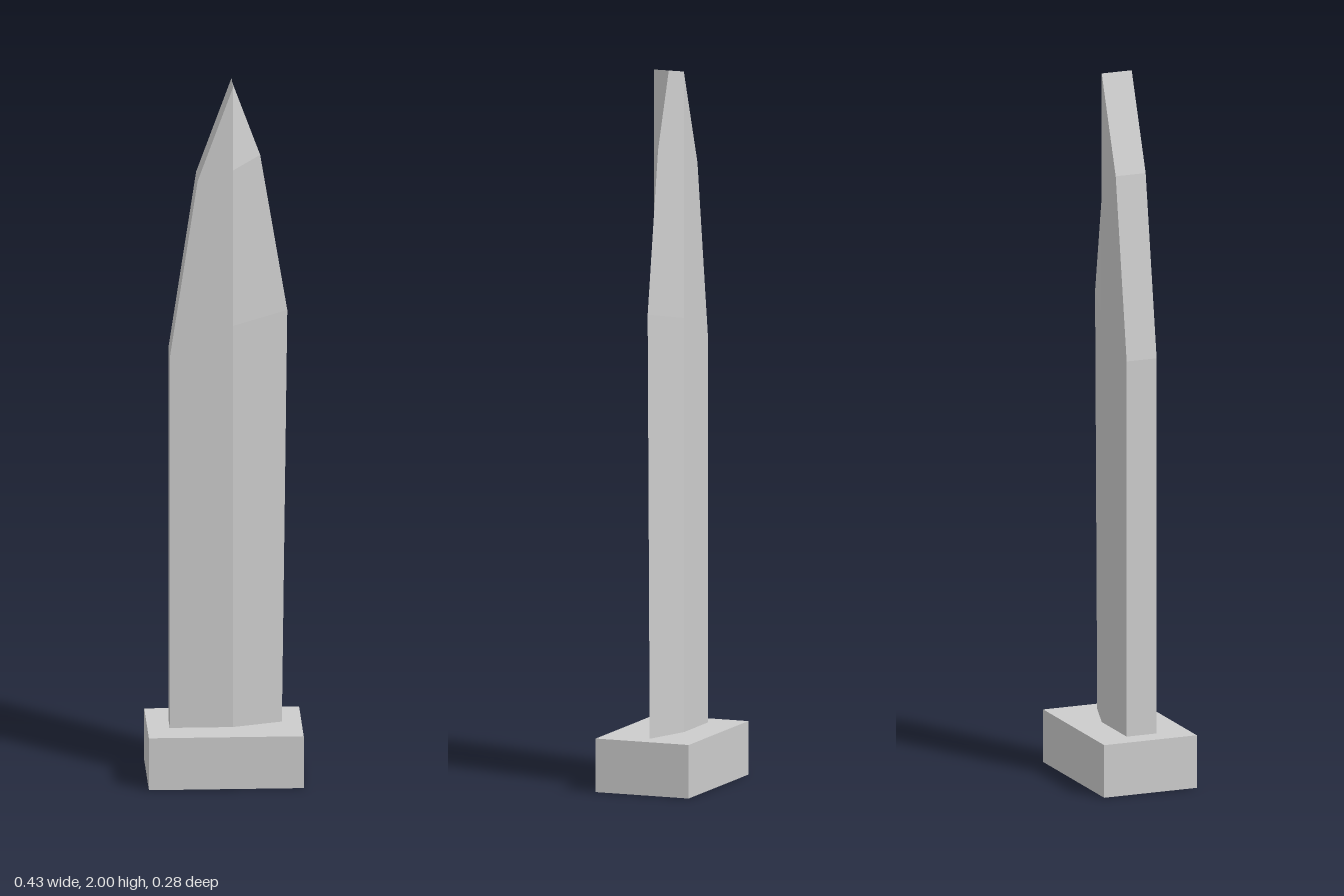
import * as THREE from 'three';

// Builds flat faces from 3 or 4 corners (counter-clockwise), one normal per face.
function facesGeometry(faces) {
  const positions = [], normals = [], index = [];
  for (const face of faces) {
    const start = positions.length / 3;
    const [a, b, c, d = a] = face;
    // cross product of the diagonals also suits the slightly folded tip faces
    const normal = c.clone().sub(a).cross(d === a ? a.clone().sub(b) : d.clone().sub(b)).normalize();
    for (const p of face) {
      positions.push(p.x, p.y, p.z);
      normals.push(normal.x, normal.y, normal.z);
    }
    for (let i = 1; i < face.length - 1; i++) index.push(start, start + i, start + i + 1);
  }
  const geometry = new THREE.BufferGeometry();
  geometry.setAttribute('position', new THREE.Float32BufferAttribute(positions, 3));
  geometry.setAttribute('normal', new THREE.Float32BufferAttribute(normals, 3));
  geometry.setIndex(index);
  return geometry;
}

export function createModel() {
  const model = new THREE.Group();
  model.name = 'bladeOnBlock';
  const steel = new THREE.MeshStandardMaterial({ color: 0xcccccc });
  steel.name = 'paleGrey';

  // Block at the foot
  const block = new THREE.Mesh(new THREE.BoxGeometry(0.428, 0.15, 0.278), steel);
  block.name = 'guardBlock';
  block.position.y = 0.075;
  model.add(block);

  // Blade outlines from foot to tip, as [x, y]
  const half = 0.045;
  const spine = [[-0.152, 0.15], [-0.152, 1.22], [-0.075, 1.73], [0.023, 2]];
  const ridge = [[0.023, 0.15], [0.023, 1.31], [0.023, 1.76], [0.023, 2]];
  const edge = [[0.16, 0.15], [0.175, 1.34], [0.1, 1.79], [0.023, 2]];
  const at = ([x, y], z) => new THREE.Vector3(x, y, z);

  // Flat cheek and ground bevel on each side
  const sides = [], back = [];
  for (const s of [1, -1]) {
    const z = s * half;
    const add = (...face) => sides.push(s > 0 ? face : [face[0], ...face.slice(1).reverse()]);
    for (let i = 0; i < 3; i++) {
      const cheek = [at(spine[i], z), at(ridge[i], z), at(ridge[i + 1], z)];
      if (i < 2) cheek.push(at(spine[i + 1], z));
      add(...cheek);
      // the last bevel folds from its lower ridge corner to the tip
      if (i < 2) add(at(ridge[i], z), at(edge[i], 0), at(edge[i + 1], 0), at(ridge[i + 1], z));
    }
    // fold starts at the ridge corner on both sides
    const tip = [at(ridge[2], z), at(edge[2], 0), at(edge[3], 0), at(ridge[3], z)];
    add(...tip);
  }

  // Blunt back of the blade
  for (let i = 0; i < 3; i++) {
    back.push([at(spine[i], -half), at(spine[i], half), at(spine[i + 1], half), at(spine[i + 1], -half)]);
  }

  const blade = new THREE.Group();
  blade.name = 'blade';
  for (const [name, faces] of [['bladeSides', sides], ['bladeSpine', back]]) {
    const mesh = new THREE.Mesh(facesGeometry(faces), steel);
    mesh.name = name;
    blade.add(mesh);
  }
  model.add(blade);
  return model;
}
